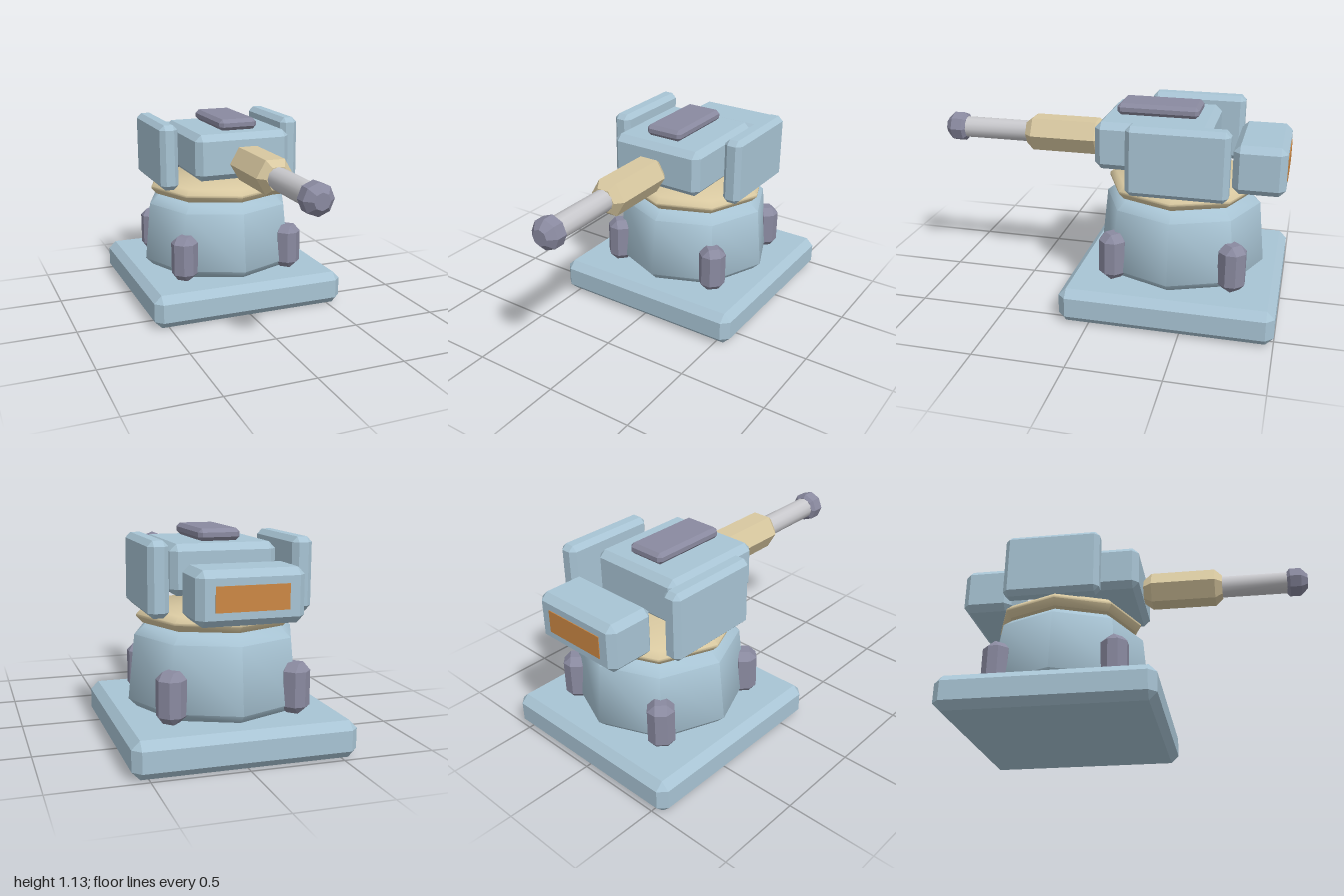
import * as THREE from 'three';
import { ConvexGeometry } from 'three/addons/geometries/ConvexGeometry.js';
import { toCreasedNormals } from 'three/addons/utils/BufferGeometryUtils.js';

function paint(name, color) {
  const m = new THREE.MeshStandardMaterial({ color });
  m.name = name;
  return m;
}

// Box with all edges bevelled by c
function bevelBox(w, h, d, c) {
  const pts = [];
  for (const sx of [-1, 1]) for (const sy of [-1, 1]) for (const sz of [-1, 1]) {
    for (let full = 0; full < 3; full++) {
      const half = [w / 2, h / 2, d / 2].map((v, i) => (i === full ? v : v - c));
      pts.push(new THREE.Vector3(sx * half[0], sy * half[1], sz * half[2]));
    }
  }
  return new ConvexGeometry(pts);
}

// Turned part from [radius, height] pairs, closed at both ends
function turned(profile, sides, crease, start = 0) {
  const pts = [[0, profile[0][1]], ...profile, [0, profile[profile.length - 1][1]]];
  const g = new THREE.LatheGeometry(pts.map(([r, y]) => new THREE.Vector2(r, y)), sides, start);
  return toCreasedNormals(g, crease);
}

export function createModel() {
  const armour = paint('pale blue armour', 0xa8c4d4);
  const tan = paint('tan', 0xd8c8a0);
  const gunmetal = paint('gunmetal', 0x8a8aa0);
  const steel = paint('light steel', 0xc8c8cc);
  const orange = paint('orange panel', 0xcc8844);

  const model = new THREE.Group();
  model.name = 'turret';
  const add = (name, geometry, material, x, y, z) => {
    const mesh = new THREE.Mesh(geometry, material);
    mesh.name = name;
    mesh.position.set(x, y, z);
    model.add(mesh);
    return mesh;
  };
  const cz = -0.415; // turning axis of the turret
  const gunY = 0.905;

  // Foundation and drum
  add('basePlate', bevelBox(1.166, 0.195, 1.17, 0.043), armour, 0, 0.0975, cz);
  add('drum', turned([[0.43, 0.195], [0.475, 0.24], [0.44, 0.585], [0.385, 0.63]], 8, 0.92),
    armour, 0, 0, cz);
  add('turntableRing', turned([[0.395, 0.645], [0.428, 0.68], [0.428, 0.692], [0.395, 0.722]], 8, 0.8),
    tan, 0, 0, cz);

  // Buttresses at the drum's diagonal corners
  for (const sx of [-1, 1]) for (const sz of [-1, 1]) {
    const b = add('buttress', bevelBox(0.143, 0.265, 0.143, 0.04), gunmetal,
      sx * 0.33, 0.3275, cz + sz * 0.33);
    b.rotation.y = Math.PI / 4;
  }

  // Turret body, hatch and trunnion
  add('body', bevelBox(0.57, 0.265, 0.625, 0.036), armour, 0, 0.9325, -0.277);
  add('topHatch', bevelBox(0.226, 0.064, 0.455, 0.02), gunmetal, 0, 1.1, -0.278);
  const trunnion = add('trunnion',
    turned([[0.065, -0.318], [0.1, -0.28], [0.1, 0.28], [0.065, 0.318]], 8, 0.3),
    gunmetal, 0, gunY - 0.005, cz);
  trunnion.rotation.z = -Math.PI / 2;

  // Side armour
  for (const s of [-1, 1]) {
    add(s > 0 ? 'leftSidePlate' : 'rightSidePlate', bevelBox(0.108, 0.383, 0.547, 0.028), armour,
      s * 0.378, 0.9065, -0.44);
  }

  // Rear counterweight with its panel
  add('rearBox', bevelBox(0.546, 0.27, 0.283, 0.036), armour, 0, 0.85, -0.8545);
  add('rearPanel', new THREE.BoxGeometry(0.37, 0.125, 0.008), orange, 0, 0.85, -0.996);

  // Gun, built along z
  const gun = [
    ['gunSleeve', turned([[0.07, 0.035], [0.108, 0.085], [0.108, 0.46], [0.07, 0.503]], 6, 0.3, Math.PI / 2), tan],
    ['barrel', turned([[0.062, 0.48], [0.062, 0.9]], 12, 0.9), steel],
    ['muzzle', turned([[0.065, 0.88], [0.085, 0.897], [0.085, 0.96], [0.045, 1]], 8, 0.3), gunmetal],
  ];
  for (const [name, geometry, material] of gun) {
    add(name, geometry, material, 0, gunY, 0).rotation.x = Math.PI / 2;
  }

  return model;
}
